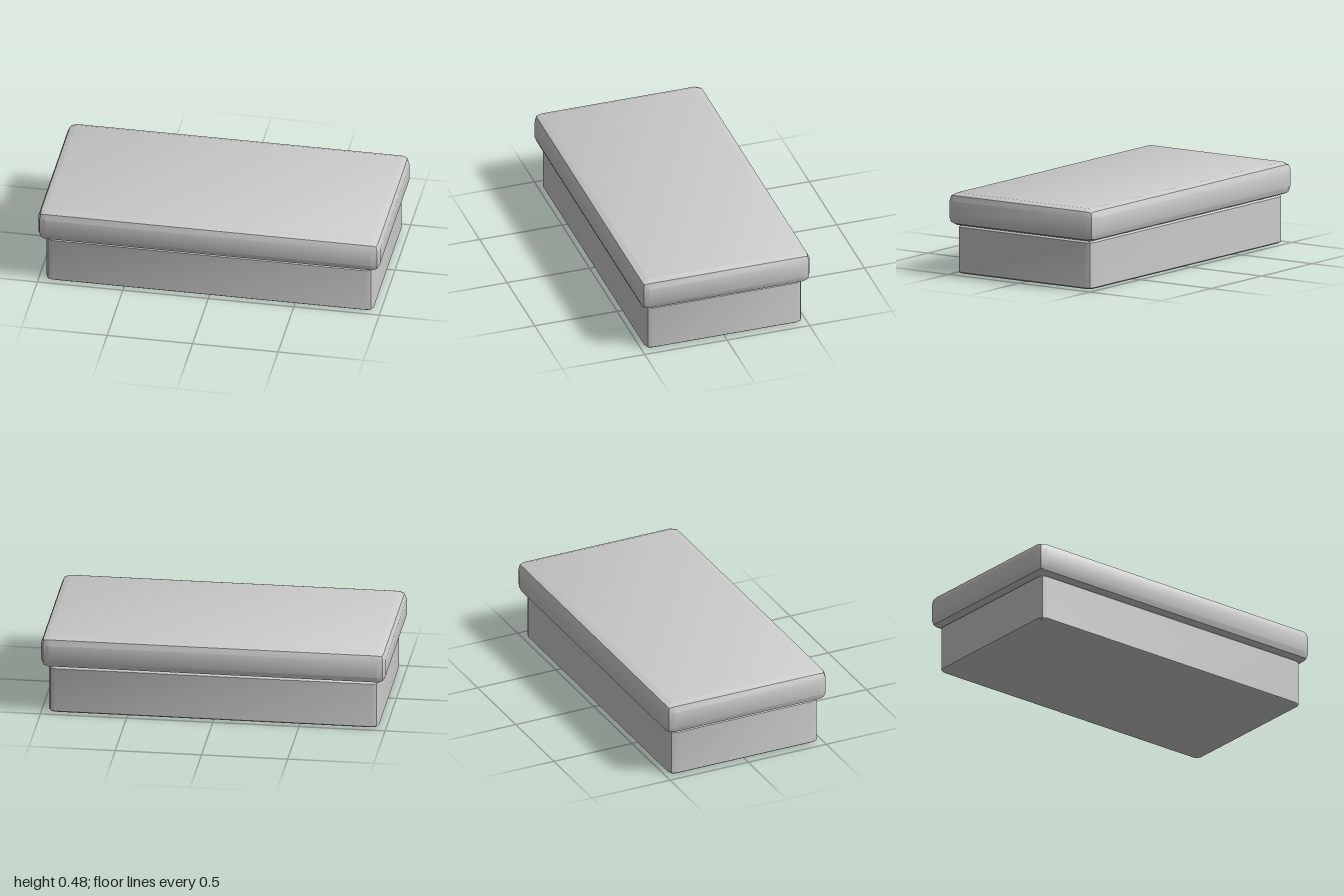
import * as THREE from 'three';
import { RoundedBoxGeometry } from 'three/addons/geometries/RoundedBoxGeometry.js';
import { toCreasedNormals } from 'three/addons/utils/BufferGeometryUtils.js';

const material = new THREE.MeshStandardMaterial({ color: 0xcccccc });

// Box with two-step bevels: radius in plan, radiusY along the height
function bevelledBox(name, width, depth, y0, y1, radius, radiusY) {
  const squash = radiusY / radius;
  const geometry = new RoundedBoxGeometry(width, (y1 - y0) / squash, depth, 1, radius);
  geometry.scale(1, squash, 1);
  const mesh = new THREE.Mesh(toCreasedNormals(geometry, Math.PI / 6), material);
  mesh.name = name;
  mesh.position.y = (y0 + y1) / 2;
  return mesh;
}

export function createModel() {
  const group = new THREE.Group();
  group.name = 'liddedBox';
  // Plain body, with only a slight bevel at top and bottom
  group.add(bevelledBox('body', 1.914, 0.95, 0, 0.287, 0.04, 0.012));
  // Overhanging lid with soft rounded edges
  group.add(bevelledBox('lid', 2, 1.03, 0.285, 0.476, 0.048, 0.046));
  return group;
}
